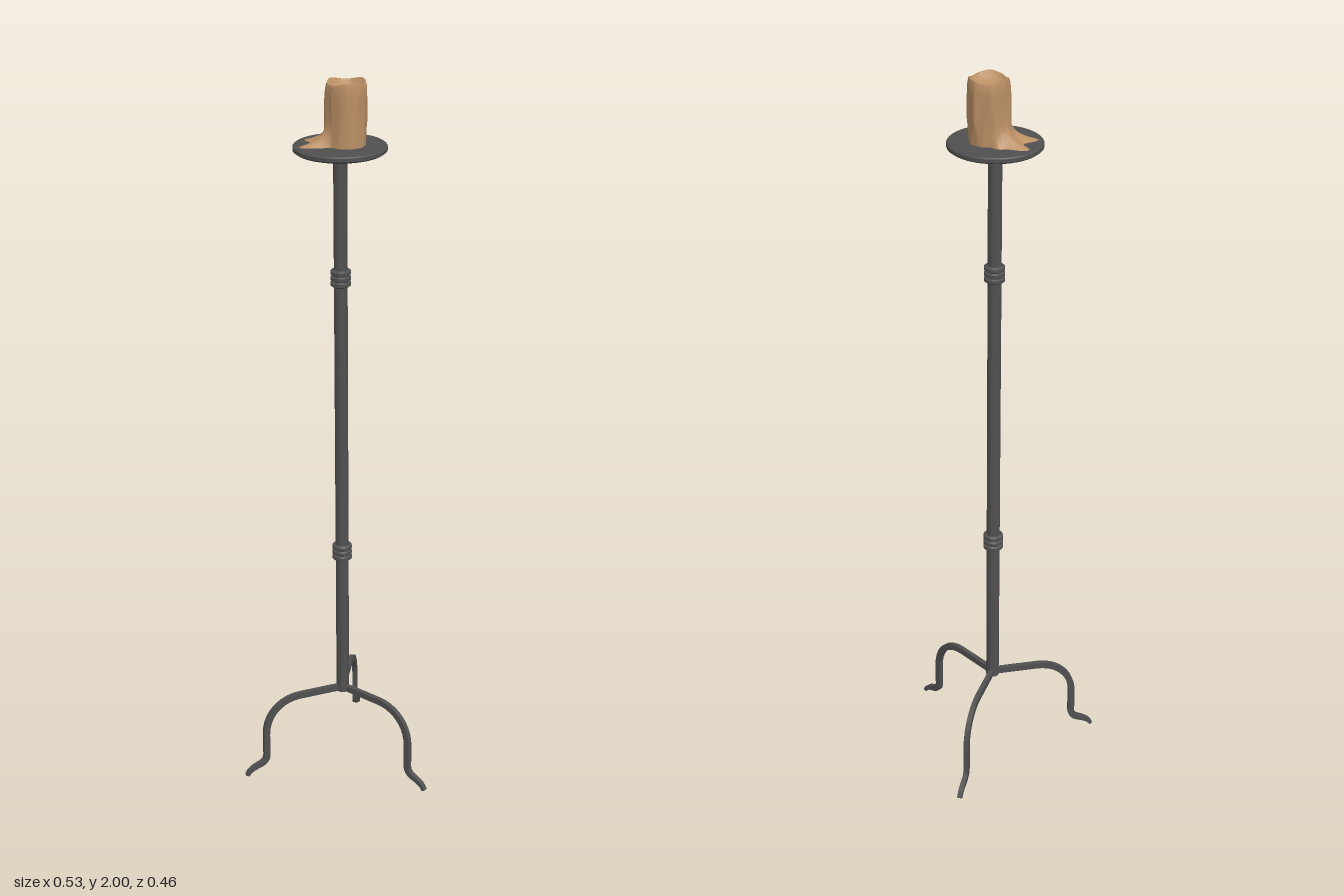
import * as THREE from 'three';
import { toCreasedNormals } from 'three/addons/utils/BufferGeometryUtils.js';

const AXIS_Z = -0.075; // the tripod's axis sits behind the centre of its bounds

const iron = new THREE.MeshStandardMaterial({ color: 0x505050 });
iron.name = 'dark iron';
const wax = new THREE.MeshStandardMaterial({ color: 0xbb9065 });
wax.name = 'tan wax';

function add(parent, name, geometry, material) {
  const mesh = new THREE.Mesh(geometry, material);
  mesh.name = name;
  parent.add(mesh);
  return mesh;
}

function lathe(points, sides) {
  const g = new THREE.LatheGeometry(points.map(([r, y]) => new THREE.Vector2(r, y)), sides);
  return toCreasedNormals(g, 0.6);
}

// Flat bar bent along a centre line, with a tapered toe
function legGeometry() {
  const path = new THREE.CurvePath();
  const v = (x, y) => new THREE.Vector2(x, y);
  path.add(new THREE.LineCurve(v(0, 0.238), v(0.13, 0.238)));
  path.add(new THREE.CubicBezierCurve(v(0.13, 0.238), v(0.19, 0.238), v(0.235, 0.195), v(0.235, 0.13)));
  path.add(new THREE.LineCurve(v(0.235, 0.13), v(0.235, 0.062)));
  path.add(new THREE.CubicBezierCurve(v(0.235, 0.062), v(0.236, 0.025), v(0.28, 0.04), v(0.296, 0.006)));
  const outer = [], inner = [];
  path.curves.forEach((curve, c) => {
    const n = c % 2 ? 10 : 1;
    for (let i = c ? 1 : 0; i <= n; i++) {
      const p = curve.getPoint(i / n), t = curve.getTangent(i / n);
      const half = c === 3 ? 0.009 - 0.004 * (i / n) ** 2 : 0.009;
      outer.push(v(p.x - t.y * half, Math.max(0, p.y + t.x * half)));
      inner.push(v(p.x + t.y * half, Math.max(0, p.y - t.x * half)));
    }
  });
  const shape = new THREE.Shape([...outer, ...inner.reverse()]);
  const g = new THREE.ExtrudeGeometry(shape, { depth: 0.013, bevelEnabled: false });
  g.translate(0, 0, -0.0065);
  return toCreasedNormals(g, 0.6);
}

// Candle: rings of a lathe pushed out into drips and a wavy, dished top
function candleGeometry() {
  const profile = [
    [0.047, 0], [0.047, 0.006], [0.047, 0.016], [0.047, 0.028], [0.047, 0.042], [0.048, 0.06],
    [0.048, 0.085], [0.049, 0.11], [0.050, 0.135], [0.050, 0.152], [0.048, 0.162],
    [0.044, 0.162], [0.038, 0.152], [0.02, 0.144], [0, 0.142],
  ].map(([r, y]) => new THREE.Vector2(r, y));
  const g = new THREE.LatheGeometry(profile, 64);
  const pos = g.attributes.position;
  const bump = (a, centre, width) => {
    const d = Math.atan2(Math.sin(a - centre), Math.cos(a - centre)) / width;
    return Math.exp(-d * d);
  };
  for (let i = 0; i < pos.count; i++) {
    const x = pos.getX(i), y = pos.getY(i), z = pos.getZ(i);
    const r = Math.hypot(x, z);
    if (r < 1e-5) continue;
    const a = Math.atan2(z, x);
    const outside = r > 0.0465;
    let grow = 0;
    if (outside) {
      // pooled wax at the foot, running to the back and the left
      const foot = Math.exp(-y / 0.019);
      const spill = 0.064 * bump(a, -2.49, 0.24) + 0.055 * bump(a, -1.77, 0.24)
        + 0.032 * bump(a, -2.1, 0.5) + 0.02 * bump(a, -1.3, 0.22);
      grow += spill * foot;
      // runs down the side
      const run = Math.exp(-(((y - 0.09) / 0.07) ** 2));
      grow += run * (0.008 * bump(a, -2.2, 0.3) + 0.006 * bump(a, -0.1, 0.2)
        + 0.005 * bump(a, -1.1, 0.18) + 0.004 * bump(a, 0.7, 0.15));
      grow += 0.0012 * Math.sin(9 * a + 30 * y);
    }
    const k = (r + grow) / r;
    const lift = y > 0.14 ? 0.004 * Math.sin(3 * a + 0.6) * (r / 0.048) : 0;
    pos.setXYZ(i, x * k, y + lift, z * k);
  }
  g.computeVertexNormals();
  return toCreasedNormals(g, 0.9);
}

export function createModel() {
  const model = new THREE.Group();
  model.name = 'floor candlestick';
  const stand = new THREE.Group();
  stand.name = 'stand';
  stand.position.z = AXIS_Z;
  model.add(stand);

  // Three bent legs, one of them straight ahead
  const leg = legGeometry();
  for (let i = 0; i < 3; i++) {
    add(stand, 'leg', leg, iron).rotation.y = -Math.PI / 2 + i * Math.PI * 2 / 3;
  }

  // Post
  add(stand, 'post', lathe([[0, 0.228], [0.018, 0.228], [0.018, 1.805], [0, 1.805]], 20), iron);

  // Two collars of three stacked rings
  for (const y of [0.677, 1.48]) {
    for (let i = -1; i <= 1; i++) {
      const ring = lathe([[0.016, -0.008], [0.022, -0.008], [0.027, -0.004], [0.027, 0.004],
        [0.022, 0.008], [0.016, 0.008]], 20);
      add(stand, 'collarRing', ring, iron).position.y = y + i * 0.0155;
    }
  }

  // Drip plate with a stepped underside
  add(stand, 'dripPlate', lathe([[0, 1.797], [0.045, 1.797], [0.068, 1.806], [0.07, 1.816],
    [0.114, 1.818], [0.121, 1.823], [0.121, 1.832], [0.118, 1.835], [0, 1.835]], 48), iron);

  // Candle, standing off centre on the plate
  add(model, 'candle', candleGeometry(), wax).position.set(0.012, 1.834, -0.062);
  return model;
}
